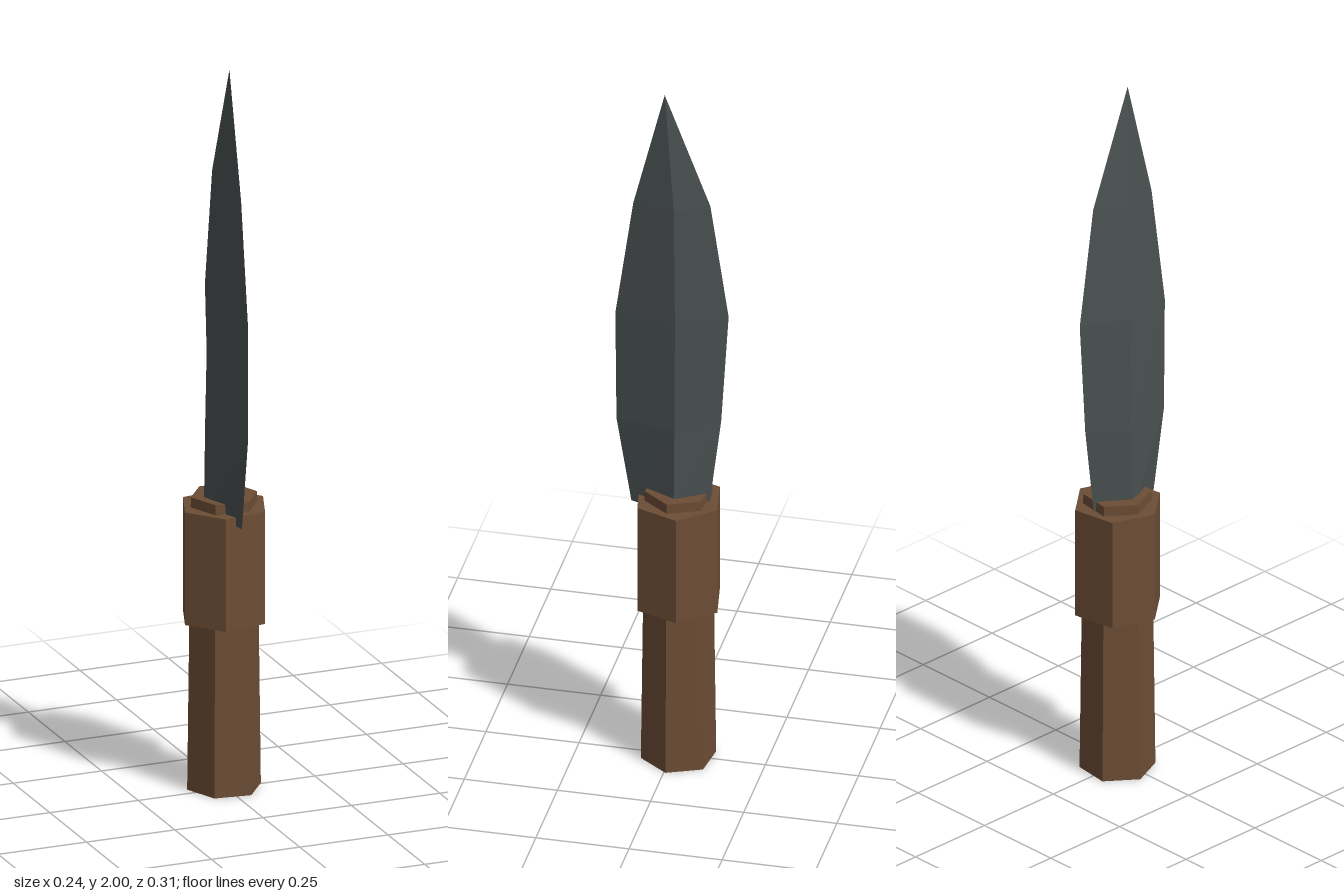
import * as THREE from 'three';

const wood = new THREE.MeshStandardMaterial({ color: 0x6d4e36, flatShading: true });
wood.name = 'brownWood';
const steel = new THREE.MeshStandardMaterial({ color: 0x4a5151, flatShading: true });
steel.name = 'darkSteel';

// Six-sided post between two heights, turned so a corner points at the given angle (from +x towards +z)
function hexPost(name, rTop, rBottom, y0, y1, degrees) {
  const geometry = new THREE.CylinderGeometry(rTop, rBottom, y1 - y0, 6);
  geometry.rotateY(THREE.MathUtils.degToRad(-30 - degrees));
  const mesh = new THREE.Mesh(geometry, wood);
  mesh.name = name;
  mesh.position.set(0, (y0 + y1) / 2, -0.017);
  return mesh;
}

// Diamond-section blade lofted through rings that close to a point
function blade() {
  // front edge y, front z, back edge y, back z, ridge y, ridge z, half thickness
  const rings = [
    [0.755, 0.11, 0.77, -0.1, 0.765, -0.017, 0.057],
    [1.0, 0.15, 1.03, -0.132, 1.01, -0.018, 0.053],
    [1.32, 0.153, 1.35, -0.152, 1.34, -0.018, 0.046],
    [1.66, 0.105, 1.68, -0.103, 1.67, -0.012, 0.033],
  ];
  const points = [];
  for (const [fy, fz, by, bz, ry, rz, t] of rings) {
    points.push([-0.002, fy, fz], [t, ry, rz], [0.002, by, bz], [-t, ry, rz]);
  }
  const tip = points.push([0, 2, 0.02]) - 1;
  const index = [0, 3, 2, 0, 2, 1];
  for (let i = 0; i < 4; i++) {
    const j = (i + 1) % 4;
    for (let r = 0; r < 3; r++) {
      const a = r * 4 + i, b = r * 4 + j;
      index.push(a, b, b + 4, a, b + 4, a + 4);
    }
    index.push(12 + i, 12 + j, tip);
  }
  const indexed = new THREE.BufferGeometry();
  indexed.setAttribute('position', new THREE.Float32BufferAttribute(points.flat(), 3));
  indexed.setIndex(index);
  const geometry = indexed.toNonIndexed();
  geometry.computeVertexNormals();
  const mesh = new THREE.Mesh(geometry, steel);
  mesh.name = 'blade';
  return mesh;
}

export function createModel() {
  const model = new THREE.Group();
  model.name = 'spearhead';
  model.add(
    hexPost('shaft', 0.09, 0.1, 0, 0.81, 7),
    hexPost('collar', 0.121, 0.121, 0.47, 0.782, -10),
    blade()
  );
  return model;
}
